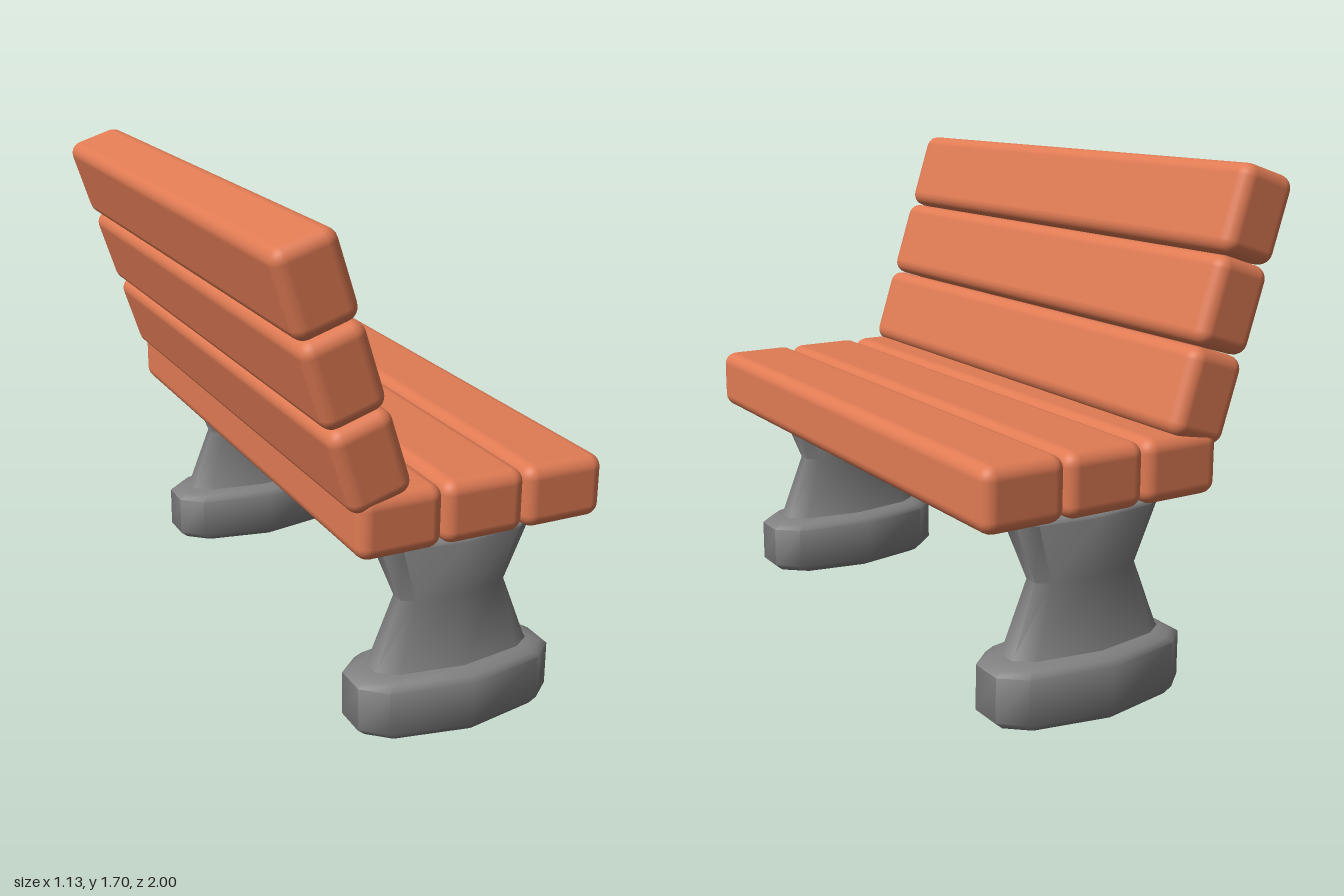
import * as THREE from 'three';
import { RoundedBoxGeometry } from 'three/addons/geometries/RoundedBoxGeometry.js';
import { toCreasedNormals } from 'three/addons/utils/BufferGeometryUtils.js';

const wood = new THREE.MeshStandardMaterial({ color: 0xe07b54 });
const stone = new THREE.MeshStandardMaterial({ color: 0x808080 });

// Plan of a leg: long hexagon with cut corners, as fractions of half length and half depth
const quarter = [[1, 0.32], [0.78, 0.7]];
const plan = [
  ...quarter, [0, 1],
  ...quarter.map(([x, z]) => [-x, z]).reverse(),
  ...quarter.map(([x, z]) => [-x, -z]), [0, -1],
  ...quarter.map(([x, z]) => [x, -z]).reverse(),
];

// Skins rings of [y, half length, half depth] from bottom to top and closes both ends
function loft(rings) {
  const n = plan.length, pos = [], index = [];
  for (const [y, hx, hz] of rings) for (const [x, z] of plan) pos.push(x * hx, y, z * hz);
  for (let r = 0; r < rings.length - 1; r++) {
    for (let i = 0; i < n; i++) {
      const a = r * n + i, b = r * n + (i + 1) % n;
      index.push(a, a + n, b, b, a + n, b + n);
    }
  }
  const last = rings.length - 1, low = pos.length / 3, high = low + 1;
  pos.push(0, rings[0][0], 0, 0, rings[last][0], 0);
  for (let i = 0; i < n; i++) {
    const j = (i + 1) % n;
    index.push(low, i, j, high, last * n + j, last * n + i);
  }
  const geo = new THREE.BufferGeometry();
  geo.setAttribute('position', new THREE.Float32BufferAttribute(pos, 3));
  geo.setIndex(index);
  return toCreasedNormals(geo, 0.95);
}

function addMesh(parent, name, geo, material) {
  const mesh = new THREE.Mesh(geo, material);
  mesh.name = name;
  parent.add(mesh);
  return mesh;
}

export function createModel() {
  const bench = new THREE.Group();
  bench.name = 'bench';

  // Seat: three planks side by side
  const seat = new THREE.Group();
  seat.name = 'seat';
  const seatPlank = new RoundedBoxGeometry(0.288, 0.21, 1.97, 3, 0.045);
  for (let i = 0; i < 3; i++) {
    addMesh(seat, 'seatPlank', seatPlank, wood).position.set(-0.155 + i * 0.288, 0.775, 0);
  }

  // Backrest: three planks stacked along a leaning line
  const back = new THREE.Group();
  back.name = 'backrest';
  const backPlank = new RoundedBoxGeometry(0.215, 0.288, 1.97, 3, 0.045);
  for (let i = 0; i < 3; i++) {
    const plank = addMesh(back, 'backPlank', backPlank, wood);
    plank.position.set(-0.256 - i * 0.089, 0.985 + i * 0.276, 0);
    plank.rotation.z = 0.31;
  }
  bench.add(seat, back);

  // Legs: waisted posts on wide feet
  const foot = loft([
    [0, 0.29, 0.14], [0.012, 0.325, 0.165], [0.035, 0.352, 0.18],
    [0.185, 0.352, 0.18], [0.203, 0.325, 0.165], [0.215, 0.28, 0.135],
  ]);
  const post = loft([
    [0.19, 0.3, 0.125], [0.225, 0.272, 0.11], [0.445, 0.19, 0.074],
    [0.645, 0.27, 0.108], [0.655, 0.26, 0.1],
  ]);
  for (const side of [1, -1]) {
    const leg = new THREE.Group();
    leg.name = side > 0 ? 'frontLeg' : 'rearLeg';
    addMesh(leg, 'foot', foot, stone);
    addMesh(leg, 'post', post, stone);
    leg.position.set(0.107, 0, side * 0.82);
    bench.add(leg);
  }
  return bench;
}
